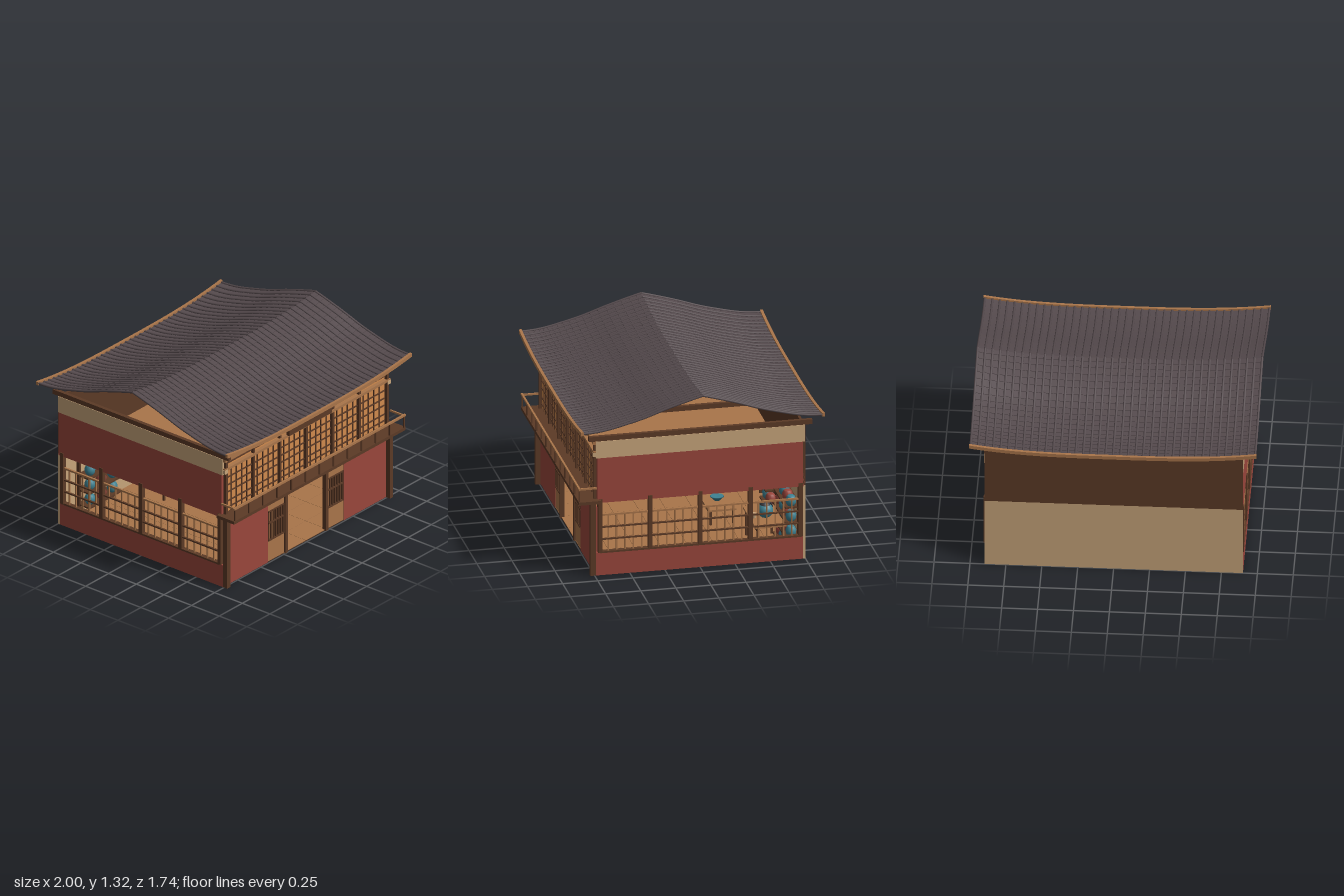
import * as THREE from 'three';

const mat = (name, color, side = THREE.FrontSide) => {
  const m = new THREE.MeshStandardMaterial({ color, side });
  m.name = name;
  return m;
};

export function createModel() {
  const root = new THREE.Group();
  root.name = 'teaHouse';
  const red = mat('redPlaster', 0x9a463c), beige = mat('beigePlaster', 0xc8a57b);
  const brown = mat('darkTimber', 0x5c3a26), wood = mat('lightWood', 0xa9754a);
  const paper = mat('amberPaper', 0xd08a4d), teal = mat('tealGlaze', 0x3f8292);
  const tile = mat('roofTile', 0x554a4d, THREE.DoubleSide);
  const iron = mat('darkIron', 0x3a3a40);

  const group = (name, parent = root) => {
    const g = new THREE.Group();
    g.name = name;
    parent.add(g);
    return g;
  };
  const add = (parent, name, geo, m, x = 0, y = 0, z = 0) => {
    const mesh = new THREE.Mesh(geo, m);
    mesh.name = name;
    mesh.position.set(x, y, z);
    parent.add(mesh);
    return mesh;
  };
  // box given by its limits on each axis
  const box = (parent, name, m, x0, x1, y0, y1, z0, z1) =>
    add(parent, name, new THREE.BoxGeometry(x1 - x0, y1 - y0, z1 - z0), m,
      (x0 + x1) / 2, (y0 + y1) / 2, (z0 + z1) / 2);

  // ground floor planks and upper floor
  const floor = group('floor');
  for (let i = 0; i < 8; i++) for (let j = 0; j < 8; j++) {
    const x = -0.89 + i * 0.2225, z = -0.74 + j * 0.185;
    box(floor, 'plank', wood, x + 0.001, x + 0.2215, 0, 0.008, z + 0.001, z + 0.184);
  }
  box(floor, 'floorBase', brown, -0.89, 0.89, 0.001, 0.005, -0.74, 0.74);
  box(root, 'upperFloor', wood, -0.87, 0.87, 0.545, 0.56, -0.73, 0.73);

  // back wall
  box(root, 'backWallLower', beige, -0.9, 0.9, 0, 0.55, -0.75, -0.732);
  box(root, 'backWallUpper', brown, -0.9, 0.9, 0.55, 1, -0.75, -0.732);

  // side walls with open lattice windows
  for (const s of [-1, 1]) {
    const side = group(s > 0 ? 'leftWall' : 'rightWall');
    const b = (name, m, a, c, y0, y1, z0, z1) =>
      box(side, name, m, Math.min(s * a, s * c), Math.max(s * a, s * c), y0, y1, z0, z1);
    b('lowerWall', red, 0.875, 0.9, 0, 0.17, -0.732, 0.74);
    b('upperWall', red, 0.875, 0.9, 0.54, 0.875, -0.745, 0.73);
    b('topBand', beige, 0.875, 0.903, 0.875, 1.0, -0.747, 0.74);
    b('sill', brown, 0.87, 0.904, 0.165, 0.178, -0.72, 0.71);
    for (let i = 0; i < 5; i++) {
      const z = -0.715 + i * 0.3565;
      b('windowPost', brown, 0.872, 0.906, 0.17, 0.567, z - 0.015, z + 0.015);
    }
    for (let i = 1; i < 24; i++) {
      const z = -0.715 + i * 0.0594;
      if (i % 6) b('latticeBar', wood, 0.884, 0.894, 0.175, 0.445, z - 0.005, z + 0.005);
    }
    b('latticeTop', wood, 0.882, 0.897, 0.44, 0.453, -0.71, 0.71);
    for (const y of [0.265, 0.355]) b('latticeRail', brown, 0.882, 0.897, y - 0.005, y + 0.005, -0.71, 0.71);
    b('cornerPost', brown, 0.865, 0.9, 0, 0.55, 0.742, 0.78);
    b('upperCornerPost', brown, 0.862, 0.885, 0.56, 1.0, 0.735, 0.755);
    b('bracket', beige, 0.868, 0.898, 0.885, 0.915, 0.73, 0.76);
  }

  // beams running front to back on top of the walls
  for (const x of [-0.885, -0.45, 0, 0.45, 0.885])
    box(root, 'roofBeam', brown, x - 0.014, x + 0.014, 1.0, 1.035, -0.8, 0.79);

  // ground floor front: plaster, sliding doors and entrance frame
  const front = group('shopFront');
  for (const s of [-1, 1]) {
    const b = (name, m, a, c, y0, y1, z0, z1) =>
      box(front, name, m, Math.min(s * a, s * c), Math.max(s * a, s * c), y0, y1, z0, z1);
    b('frontWall', red, 0.41, 0.875, 0, 0.5, 0.725, 0.742);
    b('wallOverDoor', red, 0.22, 0.41, 0.45, 0.5, 0.725, 0.742);
    b('doorPanelLower', wood, 0.23, 0.41, 0.008, 0.16, 0.722, 0.738);
    b('doorPanelTop', wood, 0.23, 0.41, 0.395, 0.45, 0.722, 0.738);
    b('doorInfill', wood, 0.23, 0.41, 0.16, 0.395, 0.722, 0.73);
    for (let i = 0; i < 7; i++) {
      const x = 0.24 + i * 0.0265;
      b('doorSlat', brown, x - 0.005, x + 0.005, 0.16, 0.395, 0.73, 0.742);
    }
    for (const y of [0.165, 0.3, 0.39]) b('doorRail', brown, 0.235, 0.405, y - 0.005, y + 0.005, 0.73, 0.744);
    b('entrancePost', brown, 0.205, 0.232, 0, 0.5, 0.72, 0.75);
  }
  box(front, 'entranceLintel', brown, -0.232, 0.232, 0.483, 0.5, 0.72, 0.75);

  // upper front: paper screens in a timber grid
  const screens = group('upperScreens');
  box(screens, 'paperScreen', paper, -0.872, 0.872, 0.56, 0.985, 0.722, 0.73);
  for (let i = -15; i <= 15; i++) {
    const x = i * 0.0573;
    if (i % 5) box(screens, 'screenBar', brown, x - 0.004, x + 0.004, 0.56, 0.9, 0.73, 0.737);
    else if (Math.abs(i) < 15) box(screens, 'screenPost', brown, x - 0.01, x + 0.01, 0.56, 0.99, 0.73, 0.752);
  }
  for (const y of [0.6, 0.65, 0.72, 0.775, 0.835])
    box(screens, 'screenRail', brown, -0.87, 0.87, y - 0.004, y + 0.004, 0.73, 0.738);
  box(screens, 'middleBeam', wood, -0.895, 0.895, 0.905, 0.925, 0.73, 0.758);
  box(screens, 'midRail', brown, -0.87, 0.87, 0.945, 0.952, 0.73, 0.74);
  box(screens, 'topBeam', wood, -0.895, 0.895, 0.975, 0.998, 0.725, 0.76);
  box(screens, 'blankBoard', brown, -0.232, 0.232, 0.93, 1.015, 0.76, 0.785);

  // balcony
  const balcony = group('balcony');
  box(balcony, 'deck', brown, -0.93, 0.93, 0.543, 0.566, 0.71, 0.868);
  box(balcony, 'handrail', wood, -0.93, 0.93, 0.652, 0.667, 0.856, 0.87);
  for (let i = 0; i <= 12; i++) {
    const x = -0.915 + i * 0.1525;
    box(balcony, 'baluster', brown, x - 0.005, x + 0.005, 0.566, 0.652, 0.858, 0.868);
  }
  for (const s of [-1, 1]) box(balcony, 'endRail', wood, s * 0.915 - 0.006, s * 0.915 + 0.006, 0.652, 0.665, 0.74, 0.86);

  // curved roof: sagging slope, lifted towards both ends
  const roof = group('roof');
  const slope = new THREE.SplineCurve([[0, 1.262], [0.2, 1.205], [0.42, 1.13], [0.6, 1.083], [0.73, 1.056], [0.86, 1.048]]
    .map(p => new THREE.Vector2(...p)));
  const lift = x => 0.052 * Math.abs(x) ** 3;
  const profile = [], COURSES = 20;
  for (let i = 0; i < COURSES; i++) {
    const a = slope.getPoint(i / COURSES), b = slope.getPoint((i + 1) / COURSES);
    profile.push([a.x, a.y], [b.x, b.y + 0.004]);
  }
  profile.push([0.86, 1.048]);
  const line = [...profile.slice(1).reverse().map(([z, y]) => [-z, y]), ...profile];
  const pos = [], idx = [], NX = 24, N = line.length;
  for (let i = 0; i <= NX; i++) {
    const x = -0.995 + (1.99 * i) / NX;
    for (const [z, y] of line) pos.push(x, y + lift(x), z);
  }
  for (let i = 0; i < NX; i++) for (let j = 0; j < N - 1; j++) {
    const a = i * N + j, b = a + N;
    idx.push(a, a + 1, b, b, a + 1, b + 1);
  }
  let sheet = new THREE.BufferGeometry();
  sheet.setAttribute('position', new THREE.Float32BufferAttribute(pos, 3));
  sheet.setIndex(idx);
  sheet = sheet.toNonIndexed();
  sheet.computeVertexNormals();
  add(roof, 'tileCourses', sheet, tile);

  // raised tile ribs
  for (let i = 0; i <= 38; i++) {
    const x = -0.99 + (1.98 * i) / 38;
    for (const s of [-1, 1]) {
      const pts = [0, 0.1, 0.25, 0.4, 0.55, 0.7, 0.85, 1].map(t => {
        const p = slope.getPoint(t);
        return new THREE.Vector3(x, p.y + lift(x) + 0.003, s * p.x);
      });
      add(roof, 'tileRib', new THREE.TubeGeometry(new THREE.CatmullRomCurve3(pts), 16, 0.0085, 6), tile);
    }
  }
  // eave boards bent along the roof edge
  for (const s of [-1, 1]) {
    const g = new THREE.BoxGeometry(2, 0.026, 0.02, 32, 1, 1), p = g.attributes.position;
    for (let i = 0; i < p.count; i++) p.setY(i, p.getY(i) + lift(p.getX(i)));
    g.computeVertexNormals();
    add(roof, 'eaveBoard', g, wood, 0, 1.051, s * 0.858);
  }

  // round lattice ornament on the back wall
  const moon = group('roundLattice');
  add(moon, 'ring', new THREE.TorusGeometry(0.18, 0.013, 8, 40), brown, 0, 0.335, -0.72);
  for (let i = -3; i <= 3; i++) {
    const o = i * 0.05, h = Math.sqrt(0.18 ** 2 - o * o);
    box(moon, 'latticeUpright', brown, o - 0.003, o + 0.003, 0.335 - h, 0.335 + h, -0.731, -0.725);
    box(moon, 'latticeCross', brown, -h, h, 0.332 + o, 0.338 + o, -0.731, -0.725);
  }

  // shelves of jars
  const jar = new THREE.LatheGeometry([[0, 0], [0.024, 0], [0.036, 0.02], [0.038, 0.045], [0.028, 0.068], [0.022, 0.074], [0, 0.076]]
    .map(p => new THREE.Vector2(...p)), 16);
  const shelf = (xs, x0, x1, y0, first) => {
    const g = group('jarShelf');
    for (const x of [x0, x1]) box(g, 'shelfPost', brown, x - 0.007, x + 0.007, 0.008, y0 + 0.44, -0.728, -0.7);
    for (let r = 0; r < 4; r++) {
      const y = y0 + 0.03 + r * 0.113;
      box(g, 'shelfBoard', brown, x0, x1, y - 0.012, y, -0.73, -0.615);
      xs.forEach((x, i) => add(g, 'jar', jar, (i + first) % 2 ? red : teal, x, y, -0.662));
    }
  };
  shelf([0.08, 0.18], 0.03, 0.225, 0, 0);
  shelf([-0.66, -0.54, -0.42], -0.72, -0.36, 0.065, 0);
  shelf([0.5, 0.61, 0.72, 0.83], 0.45, 0.865, 0.01, 1);

  // low tables with tea ware
  const table = (x0, x1, y, z0, z1) => {
    const g = group('table');
    box(g, 'tableTop', wood, x0, x1, y - 0.014, y, z0, z1);
    for (const x of [x0 + 0.02, x1 - 0.02]) for (const z of [z0 + 0.02, z1 - 0.02])
      box(g, 'tableLeg', brown, x - 0.007, x + 0.007, 0.008, y - 0.014, z - 0.007, z + 0.007);
    box(g, 'tableRail', brown, x0 + 0.02, x1 - 0.02, y - 0.045, y - 0.033, z1 - 0.025, z1 - 0.015);
    return g;
  };
  const bowl = new THREE.LatheGeometry([[0, 0], [0.02, 0], [0.05, 0.03], [0.046, 0.034], [0, 0.03]]
    .map(p => new THREE.Vector2(...p)), 16);
  add(table(-0.19, 0.18, 0.125, -0.42, -0.22), 'bowl', bowl, teal, 0, 0.125, -0.32);
  const counter = table(0.38, 0.78, 0.215, -0.64, -0.42);
  add(counter, 'kettle', new THREE.SphereGeometry(0.055, 16, 12), teal, 0.6, 0.265, -0.53);
  add(counter, 'kettleLid', new THREE.SphereGeometry(0.04, 16, 6, 0, Math.PI * 2, 0, Math.PI / 2), iron, 0.6, 0.29, -0.53);
  add(counter, 'kettleHandle', new THREE.TorusGeometry(0.05, 0.005, 6, 16, Math.PI), iron, 0.6, 0.285, -0.53).rotation.y = Math.PI / 2;
  add(counter, 'cup', new THREE.CylinderGeometry(0.018, 0.014, 0.035, 12), beige, 0.6, 0.232, -0.45);
  return root;
}
